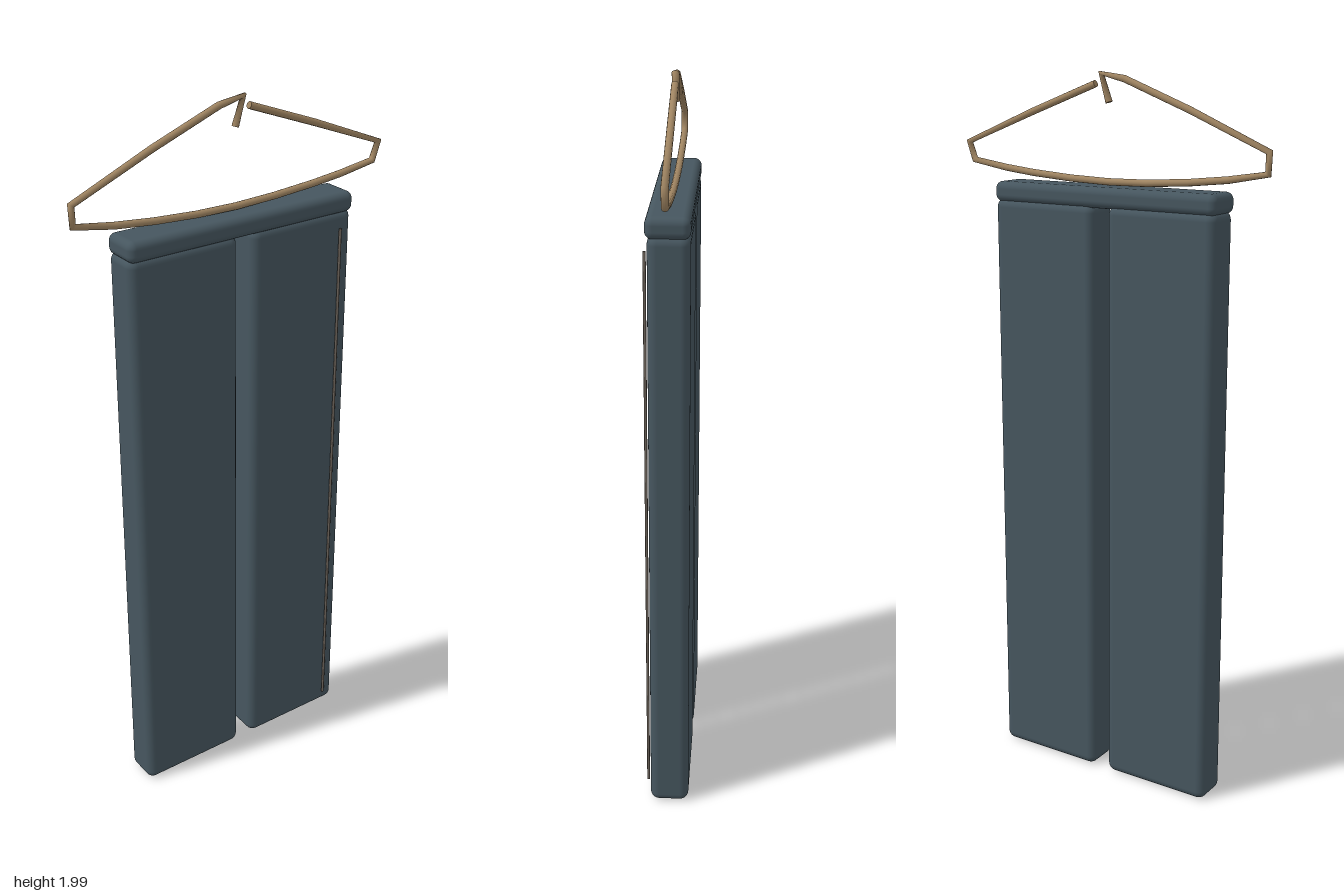
import * as THREE from 'three';
import { RoundedBoxGeometry } from 'three/addons/geometries/RoundedBoxGeometry.js';

// A bent rod: one ring per corner, tangents averaged at the bends
class BentPath extends THREE.Curve {
  constructor(points) {
    super();
    this.points = points;
  }
  getPoint(t, target = new THREE.Vector3()) {
    const last = this.points.length - 1;
    const f = THREE.MathUtils.clamp(t, 0, 1) * last;
    const i = Math.min(Math.floor(f), last - 1);
    return target.lerpVectors(this.points[i], this.points[i + 1], f - i);
  }
  getPointAt(t, target) {
    return this.getPoint(t, target);
  }
  getTangentAt(t, target = new THREE.Vector3()) {
    const last = this.points.length - 1;
    const i = Math.round(t * last);
    const p = this.points;
    const dir = (a, b) => new THREE.Vector3().subVectors(b, a).normalize();
    target.set(0, 0, 0);
    if (i > 0) target.add(dir(p[i - 1], p[i]));
    if (i < last) target.add(dir(p[i], p[i + 1]));
    return target.normalize();
  }
}

export function createModel() {
  const model = new THREE.Group();
  model.name = 'hangingTrousers';

  const cloth = new THREE.MeshStandardMaterial({ color: 0x46565f });
  const wood = new THREE.MeshStandardMaterial({ color: 0xa08562, side: THREE.DoubleSide });
  const seam = new THREE.MeshStandardMaterial({ color: 0x6b6259 });

  const add = (name, geometry, material, x, y, z) => {
    const mesh = new THREE.Mesh(geometry, material);
    mesh.name = name;
    mesh.position.set(x, y, z);
    model.add(mesh);
    return mesh;
  };

  // Two flat legs with soft edges
  for (const side of [1, -1]) {
    const leg = new RoundedBoxGeometry(0.107, 1.652, 0.325, 4, 0.024);
    add(side > 0 ? 'frontLeg' : 'backLeg', leg, cloth, -0.0075, 0.832, 0.004 + side * 0.185);
  }

  // Waistband across both legs
  add('waistband', new RoundedBoxGeometry(0.113, 0.056, 0.698, 4, 0.02), cloth, -0.005, 1.676, 0.004);

  // Thin pressed crease down one leg
  add('crease', new THREE.CylinderGeometry(0.004, 0.004, 1.56, 8), seam, 0.054, 0.83, -0.298);

  // Hanger: hook tip, apex, shoulder, curved lower bar, far shoulder; [y, z]
  const corners = [
    [1.92, 0.002], [1.993, -0.022], [1.98, 0.05], [1.906, 0.246], [1.81, 0.474],
    [1.756, 0.472], [1.737, 0.36], [1.725, 0.246], [1.717, 0.12], [1.715, 0],
    [1.719, -0.12], [1.728, -0.246], [1.738, -0.34], [1.755, -0.45],
    [1.805, -0.468], [1.89, -0.25], [1.967, -0.04],
  ].map(([y, z]) => new THREE.Vector3(0, y, z));
  const rod = new THREE.TubeGeometry(new BentPath(corners), corners.length - 1, 0.0095, 12);
  add('hanger', rod, wood, -0.007, 0, 0);

  // Caps on the two rod ends
  const n = corners.length;
  for (const [end, next] of [[0, 1], [n - 1, n - 2]]) {
    const cap = add('rodEnd', new THREE.CircleGeometry(0.0095, 12), wood, -0.007, corners[end].y, corners[end].z);
    const outward = corners[end].clone().sub(corners[next]).normalize();
    cap.quaternion.setFromUnitVectors(new THREE.Vector3(0, 0, 1), outward);
  }

  return model;
}
